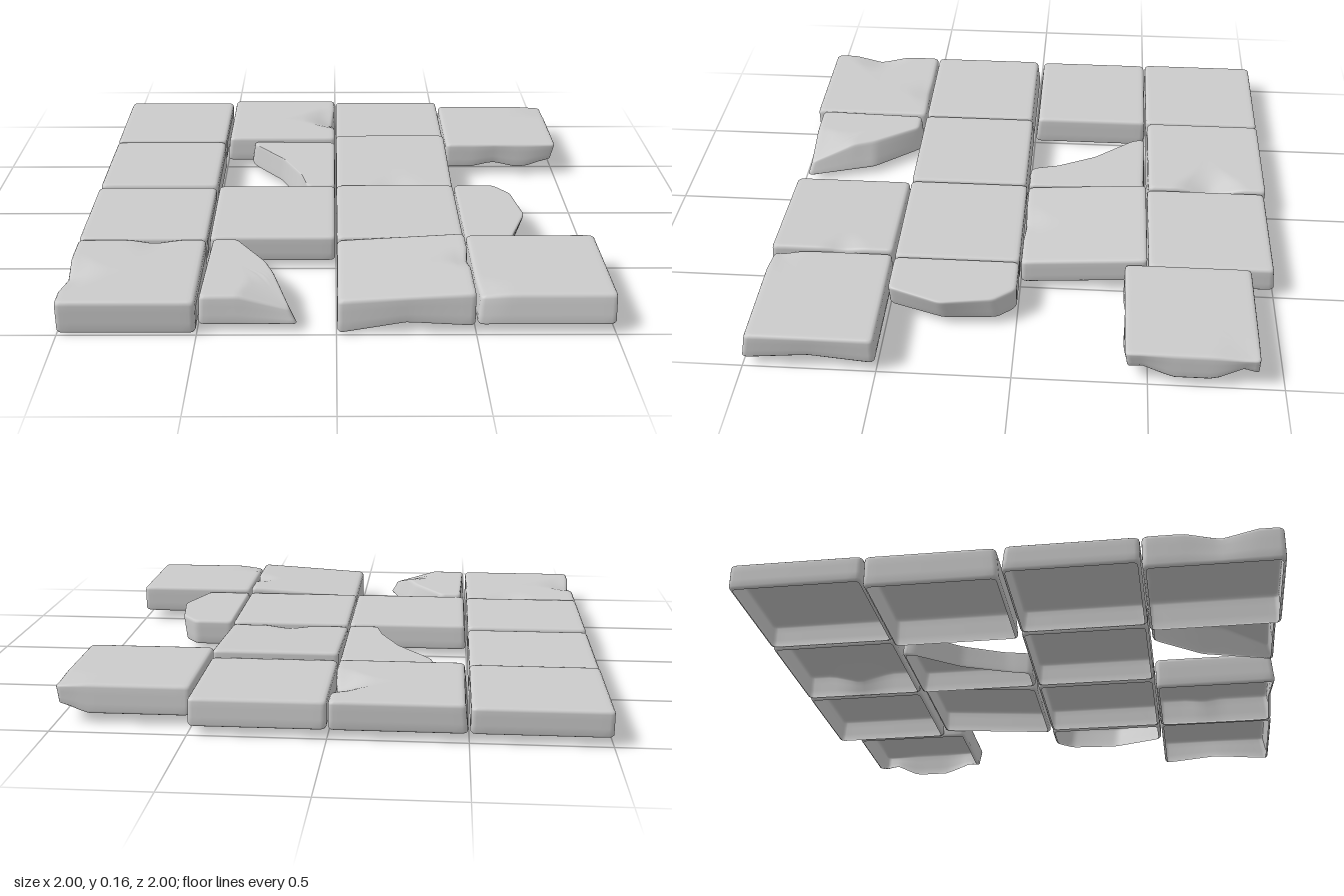
import * as THREE from 'three';

const material = new THREE.MeshStandardMaterial({ color: 0xcccccc, side: THREE.DoubleSide });

// Rounds the corners of a polygon and splits its edges; equal corner counts give equal sample counts.
function outline(corners, radius) {
  const pts = corners.map(([x, z]) => new THREE.Vector2(x, z));
  const n = pts.length, out = [];
  const toward = (a, b) => a.clone().lerp(b, Math.min(0.4, radius / a.distanceTo(b)));
  for (let i = 0; i < n; i++) {
    const p = pts[i], prev = pts[(i + n - 1) % n], next = pts[(i + 1) % n];
    const curve = new THREE.QuadraticBezierCurve(toward(p, prev), p, toward(p, next));
    out.push(...curve.getPoints(4));
    const a = toward(p, next), b = toward(next, p);
    for (let k = 1; k < 14; k++) out.push(a.clone().lerp(b, k / 14));
  }
  return out;
}

// Open-bottomed stone shell lofted from base outline to top outline, then tilted and chipped.
// chips: [x, z, radius, drop of the top edge, inward push, lift of the bottom edge]
function stone(name, { base, top = base, y0, y1, tiltX = 0, tiltZ = 0, chips = [], radius = 0.02 }) {
  const lower = outline(base, radius), upper = outline(top, radius);
  const n = lower.length;
  const centre = upper.reduce((s, p) => s.add(p), new THREE.Vector2()).divideScalar(n);
  const h = y1 - y0;
  // [height fraction, inset]
  const rings = [[0, 0.012], [0.03, 0.005], [0.1, 0], [0.35, 0], [0.65, 0], [0.87, 0], [0.94, 0.002],
    [0.985, 0.007], [1, 0.016], [1, 0.03], [1, 0.05], [1, 0.075], [1, 0.11], [1, 0.16]];
  const position = [], index = [];

  const addVertex = (x, z, t) => {
    let y = y0 + h * t + tiltX * (x - centre.x) + tiltZ * (z - centre.y);
    let px = x, pz = z;
    for (const [cx, cz, r, drop, push, lift] of chips) {
      const w = Math.max(0, 1 - Math.hypot(x - cx, z - cz) / r);
      y += w * (lift * (1 - t) - drop * t);
      const side = w * push * (lift > drop ? 1 - t : t);
      px += (centre.x - x) * side;
      pz += (centre.y - z) * side;
    }
    position.push(px, y, pz);
  };

  for (const [t, inset] of rings) {
    for (let i = 0; i < n; i++) {
      const p = lower[i].clone().lerp(upper[i], t).lerp(centre, inset / 0.25);
      addVertex(p.x, p.y, t);
    }
  }
  addVertex(centre.x, centre.y, 1);

  for (let r = 0; r < rings.length; r++) {
    for (let i = 0; i < n; i++) {
      const j = (i + 1) % n, a = r * n + i, b = r * n + j;
      if (r === rings.length - 1) index.push(a, rings.length * n, b);
      else index.push(a, a + n, b, b, a + n, b + n);
    }
  }
  const geometry = new THREE.BufferGeometry();
  geometry.setAttribute('position', new THREE.Float32BufferAttribute(position, 3));
  geometry.setIndex(index);
  geometry.computeVertexNormals();
  const mesh = new THREE.Mesh(geometry, material);
  mesh.name = name;
  return mesh;
}

const rect = (x0, z0, x1, z1) => [[x0, z0], [x1, z0], [x1, z1], [x0, z1]];

export function createModel() {
  const group = new THREE.Group();
  group.name = 'brokenStonePaving';
  const add = (name, options) => group.add(stone(name, options));

  // Back row
  add('backSlab1', { base: rect(-1, -1, -0.503, -0.503), y0: 0.035, y1: 0.135 });
  add('backSlab2', {
    base: rect(-0.497, -1, -0.003, -0.503), top: rect(-0.485, -1, -0.003, -0.51), y0: 0.035, y1: 0.145,
    chips: [[-0.003, -0.77, 0.13, 0.045, 0.07, 0]],
  });
  add('backSlab3', { base: rect(0.003, -1, 0.497, -0.503), top: rect(0.003, -0.99, 0.497, -0.503), y0: 0.035, y1: 0.14 });
  add('backSlab4', {
    base: rect(0.503, -0.91, 1, -0.41), top: rect(0.503, -0.9, 1, -0.41), y0: 0.04, y1: 0.152,
    chips: [[1, -0.45, 0.14, 0, 0.08, 0.04], [0.72, -0.41, 0.1, 0, 0.04, 0.02], [1, -0.86, 0.12, 0.01, 0.06, 0.05]],
  });

  // Second row, with a gap beside the fragment
  add('secondSlab1', { base: rect(-1, -0.497, -0.503, -0.003), top: rect(-1, -0.497, -0.503, -0.015), y0: 0.008, y1: 0.132 });
  add('secondFragment', {
    base: [[-0.385, -0.497], [-0.003, -0.497], [-0.003, -0.004], [-0.135, -0.004], [-0.165, -0.1], [-0.24, -0.28], [-0.375, -0.455]],
    top: [[-0.37, -0.495], [-0.003, -0.485], [-0.003, -0.004], [-0.12, -0.004], [-0.145, -0.11], [-0.225, -0.28], [-0.36, -0.45]],
    y0: 0.035, y1: 0.135,
  });
  add('secondSlab3', {
    base: rect(0.003, -0.497, 0.497, -0.003), y0: 0.043, y1: 0.148, tiltZ: -0.07,
    chips: [[0.25, -0.003, 0.1, 0.012, 0.03, 0]],
  });

  // Third row
  add('thirdSlab1', { base: rect(-1, 0.003, -0.503, 0.497), top: rect(-1, 0.015, -0.503, 0.497), y0: 0.035, y1: 0.135 });
  add('thirdSlab2', { base: rect(-0.497, 0.003, -0.003, 0.497), top: rect(-0.49, 0.01, -0.003, 0.497), y0: 0.035, y1: 0.14 });
  add('thirdSlab3', { base: rect(0.003, 0.003, 0.497, 0.497), y0: 0.035, y1: 0.14 });
  add('thirdFragment', {
    base: [[0.503, 0.003], [0.66, 0.003], [0.715, 0.07], [0.73, 0.28], [0.66, 0.497], [0.503, 0.497]],
    top: [[0.503, 0.003], [0.665, 0.003], [0.73, 0.085], [0.762, 0.29], [0.685, 0.497], [0.503, 0.497]],
    y0: 0.035, y1: 0.14,
  });

  // Front row
  add('frontSlab1', {
    base: rect(-1, 0.503, -0.503, 1), y0: 0.008, y1: 0.137,
    chips: [[-1, 0.78, 0.13, 0.025, 0.05, 0], [-0.7, 0.503, 0.1, 0.012, 0.03, 0]],
  });
  add('frontFragment', {
    base: [[-0.48, 0.508], [-0.37, 0.508], [-0.22, 0.7], [-0.135, 0.985], [-0.495, 0.985]],
    top: [[-0.475, 0.515], [-0.385, 0.515], [-0.265, 0.7], [-0.165, 0.965], [-0.49, 0.97]],
    y0: 0.035, y1: 0.145,
    chips: [[-0.15, 0.97, 0.2, 0.06, 0, 0]],
  });
  add('frontSlab3', {
    base: rect(0.003, 0.503, 0.497, 0.997), top: rect(0.003, 0.503, 0.497, 0.985), y0: 0.018, y1: 0.148, tiltX: 0.06,
    chips: [[0.49, 0.7, 0.08, 0.015, 0.04, 0], [0.25, 1, 0.25, 0, 0.04, 0.025]],
  });
  add('frontSlab4', {
    base: rect(0.503, 0.503, 1, 1), top: rect(0.503, 0.503, 1, 0.978), y0: 0.04, y1: 0.155,
    chips: [[0.51, 0.95, 0.1, 0.012, 0.04, 0], [1, 0.75, 0.25, 0, 0.03, 0.02]],
  });

  // Rest the lowest edge on the ground
  const box = new THREE.Box3().setFromObject(group);
  group.children.forEach((m) => { m.position.y = -box.min.y; });
  return group;
}
